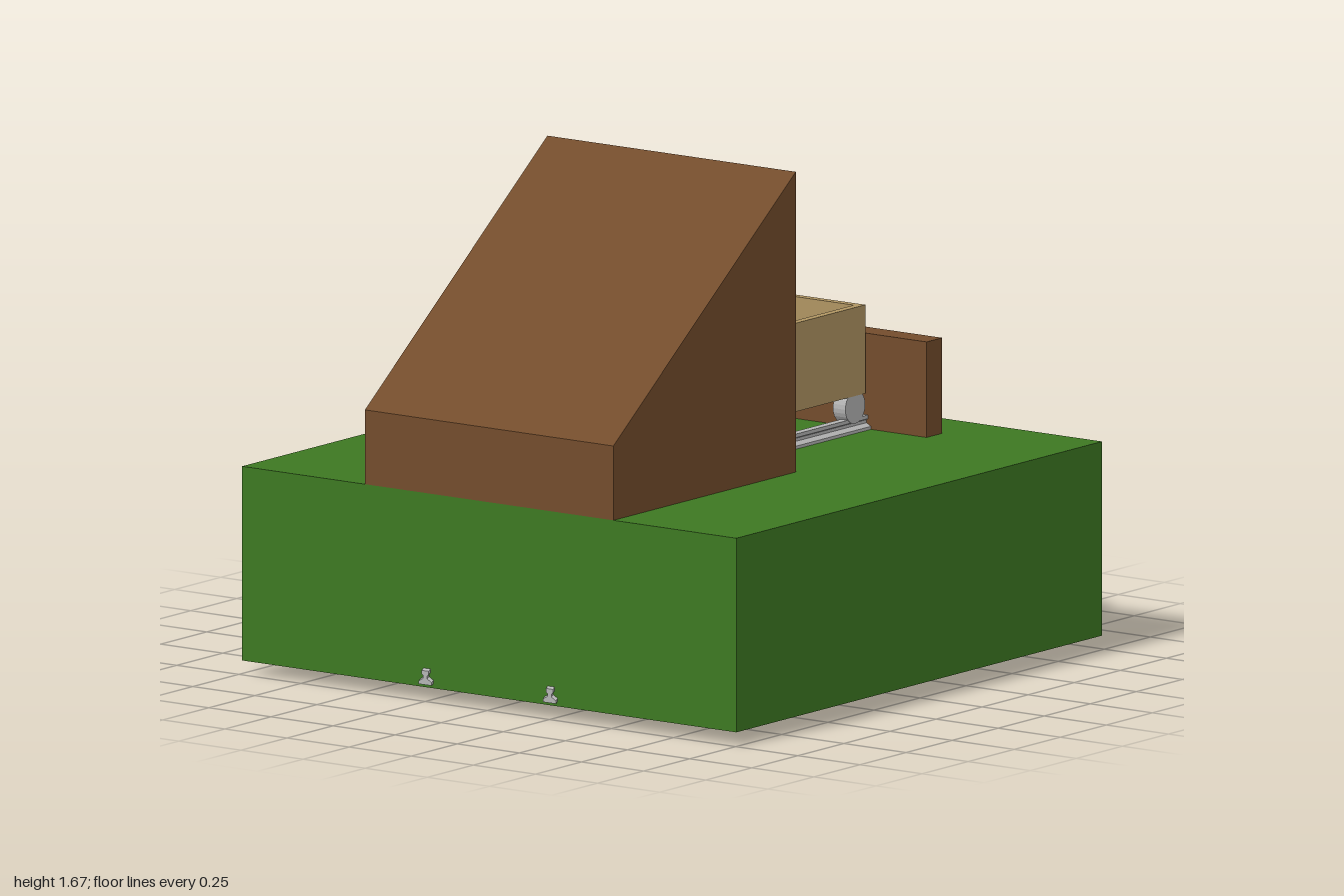
import * as THREE from 'three';

const mat = (color) => new THREE.MeshStandardMaterial({ color, flatShading: true });
const grass = mat(0x3d7822), wood = mat(0x734c2c), crate = mat(0xb09562);
const metal = mat(0xb4b4b4), dark = mat(0x050505);

function add(parent, name, geometry, material) {
  const mesh = new THREE.Mesh(geometry, material);
  mesh.name = name;
  parent.add(mesh);
  return mesh;
}

// Box given by its minimum and maximum corners
function box(parent, name, [x0, y0, z0], [x1, y1, z1], material) {
  const g = new THREE.BoxGeometry(x1 - x0, y1 - y0, z1 - z0);
  g.translate((x0 + x1) / 2, (y0 + y1) / 2, (z0 + z1) / 2);
  return add(parent, name, g, material);
}

// Side profile in x, y extruded from z0 to z1
function slab(parent, name, points, z0, z1, material) {
  const shape = new THREE.Shape(points.map(([x, y]) => new THREE.Vector2(x, y)));
  const g = new THREE.ExtrudeGeometry(shape, { depth: z1 - z0, bevelEnabled: false });
  g.translate(0, 0, z0);
  return add(parent, name, g, material);
}

// Rail section extruded along x, starting at x = 0
function railGeometry(length) {
  const half = [[0.026, 0], [0.026, 0.01], [0.008, 0.02], [0.008, 0.03], [0.014, 0.034], [0.014, 0.046]];
  const mirrored = half.map(([z, y]) => [-z, y]).reverse();
  const shape = new THREE.Shape([...half, ...mirrored].map(([z, y]) => new THREE.Vector2(z, y)));
  const g = new THREE.ExtrudeGeometry(shape, { depth: length, bevelEnabled: false });
  return g.rotateY(Math.PI / 2);
}

export function createModel() {
  const model = new THREE.Group();
  model.name = 'mineEntrance';
  const groundY = 0.685;

  box(model, 'ground', [-0.99, 0.045, -0.995], [0.995, groundY, 0.995], grass);
  box(model, 'bufferBoard', [0.71, 0, -0.5], [0.795, 1.0, 0.5], wood);

  // Wedge-shaped entrance with a shallow doorway
  const entrance = new THREE.Group();
  entrance.name = 'entrance';
  model.add(entrance);
  const roof = (x) => 1.675 + 0.7525 * x;
  const back = -0.99, door = -0.08, doorHalf = 0.378;
  slab(entrance, 'entranceBody',
    [[back, groundY], [door, groundY], [door, roof(door)], [back, roof(back)]], -0.5, 0.5, wood);
  for (const [name, z0, z1] of [['rightJamb', doorHalf, 0.5], ['leftJamb', -0.5, -doorHalf]])
    slab(entrance, name, [[door, groundY], [0, groundY], [0, roof(0)], [door, roof(door)]], z0, z1, wood);
  slab(entrance, 'lintel',
    [[door, 1.53], [0, 1.59], [0, roof(0)], [door, roof(door)]], -doorHalf, doorHalf, wood);
  box(entrance, 'darkOpening', [door - 0.01, groundY, -doorHalf], [door + 0.004, 1.54, doorHalf], dark);

  // Rails: level outside, sloping down through the ground inside
  for (const z of [-0.25, 0.25]) {
    add(model, 'rail', railGeometry(0.72), metal).position.set(0, groundY, z);
    const sloped = railGeometry(1);
    sloped.applyMatrix4(new THREE.Matrix4().makeShear(0.63, 0, 0, 0, 0, 0));
    sloped.computeVertexNormals();
    add(model, 'slopedRail', sloped, metal).position.set(-1, 0.055, z);
  }

  // Open cart
  const cart = new THREE.Group();
  cart.name = 'cart';
  model.add(cart);
  const x0 = 0.165, x1 = 0.695, z = 0.265, y0 = 0.805, y1 = 1.097, t = 0.027;
  box(cart, 'cartFloor', [x0, y0, -z], [x1, y0 + t, z], crate);
  for (const s of [-1, 1]) {
    const zs = [s * z, s * (z - t)].sort((a, b) => a - b);
    box(cart, 'cartSide', [x0, y0 + t, zs[0]], [x1, y1, zs[1]], crate);
    const xe = s < 0 ? x0 : x1 - t;
    box(cart, 'cartEnd', [xe, y0 + t, -z + t], [xe + t, y1, z - t], crate);
  }

  // Wheels
  const wheel = new THREE.CylinderGeometry(0.054, 0.054, 0.05, 24).rotateX(Math.PI / 2);
  for (const x of [0.245, 0.64])
    for (const wz of [-0.24, 0.24])
      add(cart, 'wheel', wheel, metal).position.set(x, 0.768, wz);

  return model;
}
